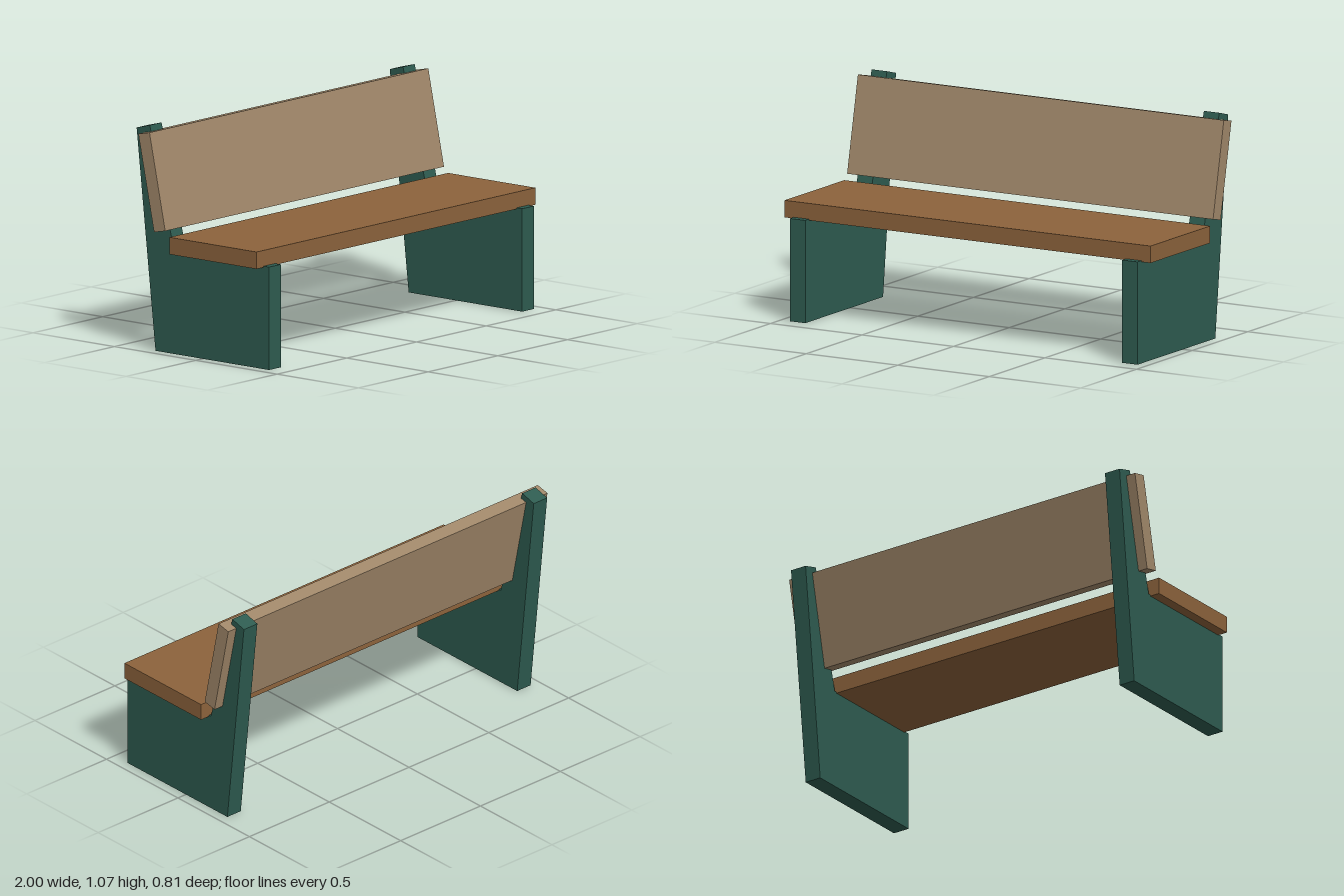
import * as THREE from 'three';

export function createModel() {
  const bench = new THREE.Group();
  bench.name = 'bench';

  const paint = new THREE.MeshStandardMaterial({ color: 0x2e5c50 });
  paint.name = 'green paint';
  const seatWood = new THREE.MeshStandardMaterial({ color: 0x8c633c });
  seatWood.name = 'brown wood';
  const backWood = new THREE.MeshStandardMaterial({ color: 0xa1886a });
  backWood.name = 'pale wood';

  const add = (name, geometry, material, x, y, z) => {
    const mesh = new THREE.Mesh(geometry, material);
    mesh.name = name;
    mesh.position.set(x, y, z);
    bench.add(mesh);
    return mesh;
  };

  // End supports: side profile as [z, y], extruded across x
  const profile = [[0.408, 0], [0.408, 0.49], [-0.175, 0.49], [-0.325, 1.07], [-0.406, 1.048], [-0.29, 0]];
  const shape = new THREE.Shape(profile.map(([z, y]) => new THREE.Vector2(-z, y)));
  const thickness = 0.084;
  const support = new THREE.ExtrudeGeometry(shape, { depth: thickness, bevelEnabled: false });
  support.translate(0, 0, -thickness / 2);
  support.rotateY(Math.PI / 2);
  add('leftSupport', support, paint, 0.908, 0, 0);
  add('rightSupport', support, paint, -0.908, 0, 0);

  // Seat plank, sunk slightly into the supports
  add('seat', new THREE.BoxGeometry(2, 0.081, 0.536), seatWood, 0, 0.5245, 0.106);

  // Backrest plank, leaning back
  const back = add('backrest', new THREE.BoxGeometry(2, 0.466, 0.07), backWood, 0, 0.812, -0.27);
  back.rotation.x = -0.209;

  return bench;
}
